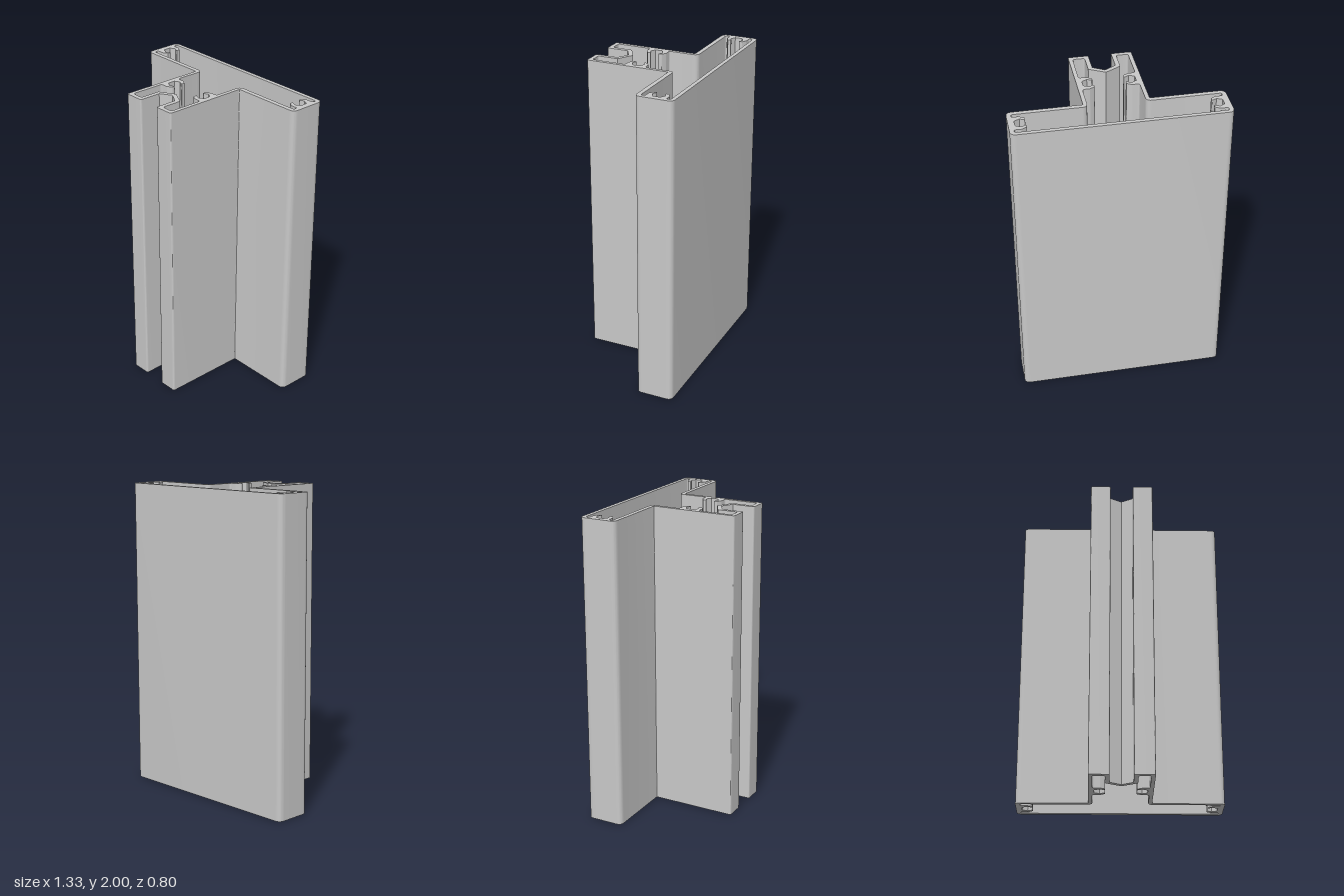
import * as THREE from 'three';
import { toCreasedNormals } from 'three/addons/utils/BufferGeometryUtils.js';

// Right half plus its mirror image; each point is [x, z, corner radius]
function mirrored(half) {
  const left = half.filter(p => p[0] > 0).reverse().map(([x, z, r]) => [-x, z, r]);
  return half.concat(left);
}

// Trace a closed polygon with rounded corners (shape y = -z)
function trace(path, points) {
  const pts = points.map(([x, z, r = 0]) => ({ v: new THREE.Vector2(x, -z), r }));
  const n = pts.length;
  const go = (p, first) => (first ? path.moveTo(p.x, p.y) : path.lineTo(p.x, p.y));
  pts.forEach(({ v, r }, i) => {
    if (!r) return go(v, i === 0);
    const a = pts[(i + n - 1) % n].v, b = pts[(i + 1) % n].v;
    const toward = (q, k) => v.clone().add(q.clone().sub(v).setLength(Math.min(r, q.distanceTo(v) * 0.45) * k));
    // A thin flat strip on each side of the curve keeps the flat walls evenly shaded
    const q = toward(b, 1);
    go(toward(a, 1.05), i === 0);
    go(toward(a, 1));
    path.quadraticCurveTo(v.x, v.y, q.x, q.y);
    go(toward(b, 1.05));
  });
  path.closePath();
  return path;
}

// C-shaped screw port: x = inner back, z = centre
function screwPort(back, z) {
  const upper = [
    [back - 0.035, z - 0.068, 0.004], [back - 0.067, z - 0.049, 0.003],
    [back - 0.067, z - 0.029, 0.003], [back - 0.061, z - 0.027, 0.002],
    [back - 0.034, z - 0.042], [back, z - 0.024],
  ];
  const lower = upper.slice().reverse().map(([x, pz, r]) => [x, 2 * z - pz, r]);
  return upper.concat(lower);
}

export function createModel() {
  const group = new THREE.Group();
  group.name = 'extrudedProfile';
  const aluminium = new THREE.MeshStandardMaterial({ color: 0xc8c8c8 });
  aluminium.name = 'aluminium grey';

  // Outer outline: wide flange, stem and peaked front channel
  const outer = mirrored([
    [0.666, -0.4, 0.038], [0.666, -0.156, 0.038],
    [0.202, -0.156, 0.006], [0.202, 0.4, 0.012],
    [0.073, 0.4, 0.012], [0.073, 0.255], [0, 0.212],
  ]);

  // Hollow interior with screw ports on the flange ends and stem walls
  const inner = mirrored([
    [0.638, -0.374, 0.013], [0.638, -0.347, 0.013],
    ...screwPort(0.627, -0.28),
    [0.638, -0.213, 0.013], [0.638, -0.185, 0.013],
    [0.177, -0.185, 0.034], [0.177, 0.011, 0.016],
    ...screwPort(0.165, 0.079),
    [0.177, 0.147, 0.016], [0.177, 0.372, 0.014],
    [0.101, 0.372, 0.014], [0.101, 0.238], [0, 0.182],
  ]);

  // The hole runs the opposite way round so its walls face inwards
  const shape = trace(new THREE.Shape(), outer);
  shape.holes.push(trace(new THREE.Path(), inner.reverse()));

  const extrusion = new THREE.ExtrudeGeometry(shape, { depth: 2, bevelEnabled: false, curveSegments: 8 });
  extrusion.rotateX(-Math.PI / 2);
  const body = new THREE.Mesh(toCreasedNormals(extrusion, 0.42), aluminium);
  body.name = 'hollowRail';
  group.add(body);
  return group;
}
